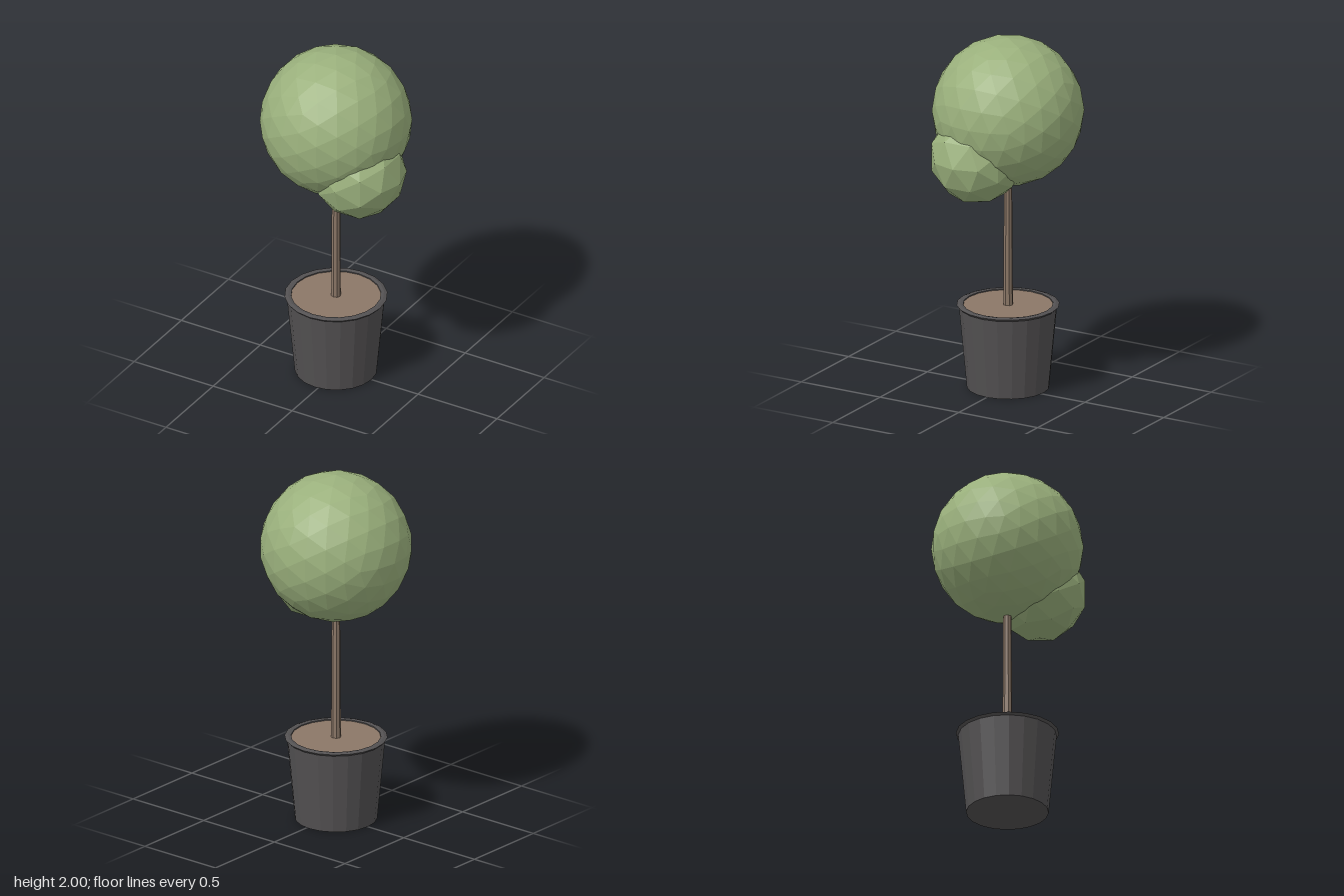
import * as THREE from 'three';

export function createModel() {
  const model = new THREE.Group();
  model.name = 'pottedTopiary';

  const mat = (name, color) => {
    const m = new THREE.MeshStandardMaterial({ color, flatShading: true });
    m.name = name;
    return m;
  };
  const leafGreen = mat('leafGreen', 0x9ab07c);
  const barkBrown = mat('barkBrown', 0x8b7767);
  const potGrey = mat('potGrey', 0x535152);

  const axisX = -0.02; // the pot, trunk and crown share this axis
  const add = (name, geometry, material, x, y, z) => {
    const mesh = new THREE.Mesh(geometry, material);
    mesh.name = name;
    mesh.position.set(x, y, z);
    model.add(mesh);
  };
  const lathe = (points, sides) =>
    new THREE.LatheGeometry(points.map(([r, y]) => new THREE.Vector2(r, y)), sides);

  // Tapered pot with a closed base
  add('pot', lathe([[0, 0], [0.225, 0], [0.268, 0.46]], 20), potGrey, axisX, 0, 0);

  // Flared lip, sloping back in to the soil
  add('potRim', lathe([[0.262, 0.455], [0.281, 0.473], [0.262, 0.479], [0.245, 0.476], [0.244, 0.462]], 20),
    potGrey, axisX, 0, 0);

  // Soil surface just under the lip
  const soil = new THREE.CircleGeometry(0.25, 20);
  soil.rotateX(-Math.PI / 2);
  add('soil', soil, barkBrown, axisX, 0.47, 0);

  // Slender trunk running up into the crown
  add('trunk', new THREE.CylinderGeometry(0.022, 0.027, 0.85, 8), barkBrown, axisX, 0.875, 0);

  // Large faceted crown and the smaller clump growing from its side
  add('crown', new THREE.IcosahedronGeometry(0.415, 3), leafGreen, axisX, 1.585, 0);
  add('sideClump', new THREE.IcosahedronGeometry(0.26, 1), leafGreen, 0.174, 1.36, 0.08);

  return model;
}
